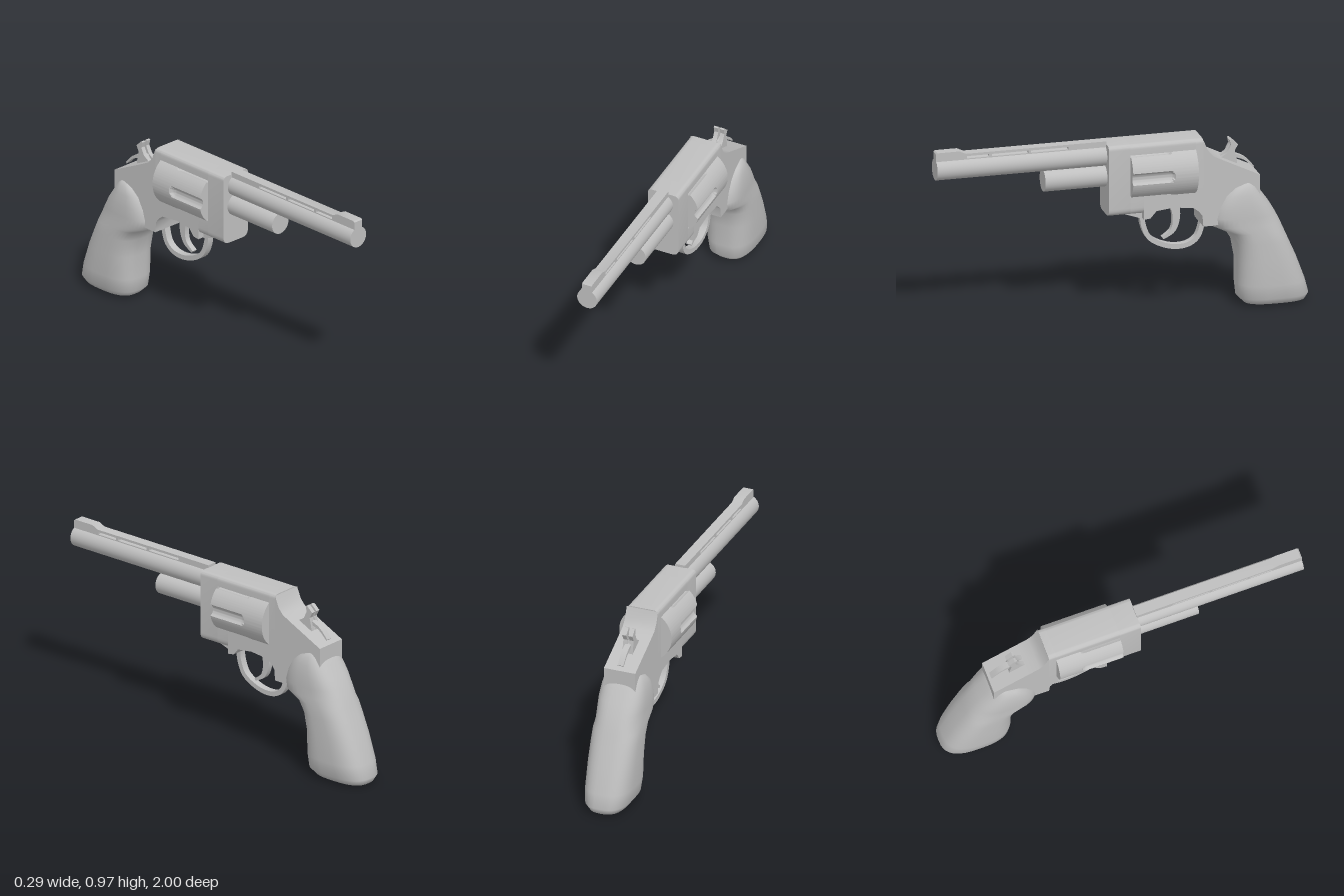
import * as THREE from 'three';
import { toCreasedNormals, mergeVertices } from 'three/addons/utils/BufferGeometryUtils.js';

const steel = new THREE.MeshStandardMaterial({ color: 0xbfbfbf });
steel.name = 'grey';

const HALF = 0.088; // half width of the frame
const v2 = (p) => new THREE.Vector2(p[0], p[1]);

export function createModel() {
  const model = new THREE.Group();
  model.name = 'revolver';

  const add = (name, geometry) => {
    const mesh = new THREE.Mesh(geometry, steel);
    mesh.name = name;
    model.add(mesh);
    return mesh;
  };

  // Side profile of [z, y] points, extruded across x
  const sidePlate = (points, width, x = 0, holes = []) => {
    const shape = new THREE.Shape(points.map(v2));
    holes.forEach((h) => shape.holes.push(new THREE.Path(h.map(v2))));
    const g = new THREE.ExtrudeGeometry(shape, { depth: width, bevelEnabled: false });
    g.translate(0, 0, -width / 2).rotateY(-Math.PI / 2).translate(x, 0, 0);
    return toCreasedNormals(g, 0.6);
  };

  // Cross-section with separate top and bottom corner radii, extruded along z
  const block = (y0, y1, rBottom, rTop, z0, z1) => {
    const s = new THREE.Shape();
    s.moveTo(-HALF + rBottom, y0);
    s.lineTo(HALF - rBottom, y0);
    s.quadraticCurveTo(HALF, y0, HALF, y0 + rBottom);
    s.lineTo(HALF, y1 - rTop);
    s.quadraticCurveTo(HALF, y1, HALF - rTop, y1);
    s.lineTo(-HALF + rTop, y1);
    s.quadraticCurveTo(-HALF, y1, -HALF, y1 - rTop);
    s.lineTo(-HALF, y0 + rBottom);
    s.quadraticCurveTo(-HALF, y0, -HALF + rBottom, y0);
    const g = new THREE.ExtrudeGeometry(s, { depth: z1 - z0, bevelEnabled: false, curveSegments: 6 });
    return toCreasedNormals(g.translate(0, 0, z0), 0.6);
  };

  // Curved strip following [z, y] points, tapering from t0 to t1 in thickness
  const strip = (points, t0, t1, width) => {
    const curve = new THREE.SplineCurve(points.map(v2));
    const a = [], b = [], n = 28;
    for (let i = 0; i <= n; i++) {
      const t = i / n, p = curve.getPoint(t), d = curve.getTangent(t);
      const h = (t0 + (t1 - t0) * t) / 2;
      a.push([p.x - d.y * h, p.y + d.x * h]);
      b.unshift([p.x + d.y * h, p.y - d.x * h]);
    }
    return sidePlate([...a, ...b], width);
  };

  const rod = (name, radius, y, z0, z1) => {
    const g = new THREE.CylinderGeometry(radius, radius, z1 - z0, 40);
    add(name, g.rotateX(Math.PI / 2).translate(0, y, (z0 + z1) / 2));
  };

  // Barrel and the rod housing below it
  rod('barrel', 0.057, 0.876, 0.08, 1);
  rod('rodHousing', 0.059, 0.765, 0.08, 0.42);

  // Slotted top rib with the raised front sight
  const slots = [[0.835, 0.715], [0.7, 0.505], [0.49, 0.29]].map(([a, b]) =>
    [[a, 0.931], [a, 0.944], [b, 0.944], [b, 0.931]]);
  add('topRib', sidePlate([[1, 0.91], [1, 0.966], [0.993, 0.973], [0.875, 0.973], [0.84, 0.957],
    [0.085, 0.957], [0.085, 0.91]], 0.056, 0, slots));

  // Frame around the cylinder window
  add('frameFront', block(0.56, 0.943, 0.04, 0.025, -0.028, 0.088));
  add('frameTopStrap', block(0.888, 0.943, 0, 0.025, -0.38, -0.028));
  add('frameRecoilBlock', block(0.66, 0.943, 0, 0.025, -0.42, -0.38));
  add('frameBottomStrap', block(0.56, 0.66, 0.04, 0, -0.1, -0.028));

  // Rear and lower frame, arched above the trigger
  add('frameRear', sidePlate([
    [-0.1, 0.66], [-0.42, 0.66], [-0.42, 0.938], [-0.445, 0.877], [-0.473, 0.845], [-0.537, 0.813],
    [-0.725, 0.722], [-0.725, 0.61], [-0.62, 0.48], [-0.473, 0.465], [-0.42, 0.465], [-0.415, 0.524],
    [-0.395, 0.55], [-0.366, 0.572], [-0.26, 0.583], [-0.168, 0.572], [-0.136, 0.535], [-0.1, 0.53],
  ], HALF * 2));
  add('frameLowerWedge', sidePlate([[0, 0.58], [-0.1, 0.58], [-0.1, 0.525], [0, 0.56]], 0.1));

  // Fluted cylinder: six grooves open at the front with round rear ends
  const R = 0.147, len = 0.352;
  const drum = new THREE.CylinderGeometry(R, R, len, 144, 40);
  drum.rotateX(Math.PI / 2).translate(0, 0, -0.028 - len / 2);
  const pos = drum.attributes.position;
  for (let i = 0; i < pos.count; i++) {
    const x = pos.getX(i), y = pos.getY(i), z = pos.getZ(i);
    if (Math.hypot(x, y) < R * 0.9) continue;
    const angle = Math.atan2(y, x), step = Math.PI / 3;
    const side = (angle - Math.round(angle / step) * step) * R / 0.03;
    const end = Math.max(0, -0.225 - z) / 0.03;
    const k = 1 - (0.024 / R) * Math.sqrt(Math.max(0, 1 - side * side - end * end));
    pos.setXY(i, x * k, y * k);
  }
  add('cylinder', toCreasedNormals(drum, 0.5)).position.y = 0.772;

  // Trigger guard and trigger
  add('triggerGuard', strip([[-0.112, 0.56], [-0.116, 0.48], [-0.155, 0.4], [-0.25, 0.352],
    [-0.345, 0.348], [-0.41, 0.39], [-0.438, 0.48]], 0.026, 0.026, 0.038));
  add('trigger', strip([[-0.28, 0.6], [-0.295, 0.51], [-0.277, 0.435], [-0.222, 0.395]], 0.055, 0.012, 0.03));

  // Hammer: forked head, narrow core and curved spur
  const head = [[-0.53, 0.79], [-0.533, 0.815], [-0.565, 0.835], [-0.585, 0.875], [-0.578, 0.905],
    [-0.588, 0.908], [-0.622, 0.877], [-0.605, 0.845], [-0.615, 0.8], [-0.62, 0.76]];
  for (const s of [-1, 1]) add('hammerProng', sidePlate(head, 0.023, s * 0.0175));
  add('hammerCore', sidePlate([[-0.54, 0.78], [-0.565, 0.83], [-0.6, 0.84], [-0.62, 0.76]], 0.02));
  add('hammerSpur', strip([[-0.58, 0.82], [-0.63, 0.807], [-0.67, 0.785], [-0.71, 0.744]], 0.022, 0.008, 0.032));

  // Grip: rounded sections of [y, front z, back z, half width]
  const sections = [
    [0.004, -0.7, -0.95, 0.06], [0.012, -0.655, -0.983, 0.095], [0.045, -0.622, -1.0, 0.12],
    [0.12, -0.615, -0.98, 0.129], [0.25, -0.615, -0.932, 0.13], [0.35, -0.597, -0.888, 0.13],
    [0.41, -0.56, -0.862, 0.13], [0.45, -0.475, -0.845, 0.127], [0.5, -0.47, -0.82, 0.128],
    [0.56, -0.492, -0.785, 0.128], [0.62, -0.527, -0.742, 0.12], [0.66, -0.575, -0.715, 0.107],
    [0.685, -0.64, -0.685, 0.085],
  ];
  const N = 40, verts = [], index = [];
  const round = (c) => Math.sign(c) * Math.pow(Math.abs(c), 0.72);
  for (const [y, zf, zb, w] of sections) {
    for (let j = 0; j < N; j++) {
      const a = (j / N) * Math.PI * 2;
      verts.push(w * round(Math.sin(a)), y, (zf + zb) / 2 + ((zf - zb) / 2) * round(Math.cos(a)));
    }
  }
  const last = sections.length - 1;
  for (let i = 0; i < last; i++) {
    for (let j = 0; j < N; j++) {
      const a = i * N + j, b = i * N + (j + 1) % N;
      index.push(a, b, b + N, a, b + N, a + N);
    }
  }
  // Bottom and top caps
  const base = verts.length / 3;
  verts.push(0, 0, -0.825, 0, 0.688, -0.662);
  for (let j = 0; j < N; j++) {
    const k = (j + 1) % N;
    index.push(base, k, j, base + 1, last * N + j, last * N + k);
  }
  const grip = new THREE.BufferGeometry();
  grip.setAttribute('position', new THREE.Float32BufferAttribute(verts, 3));
  grip.setIndex(index);
  const smooth = mergeVertices(grip);
  smooth.computeVertexNormals();
  add('grip', smooth);

  return model;
}
